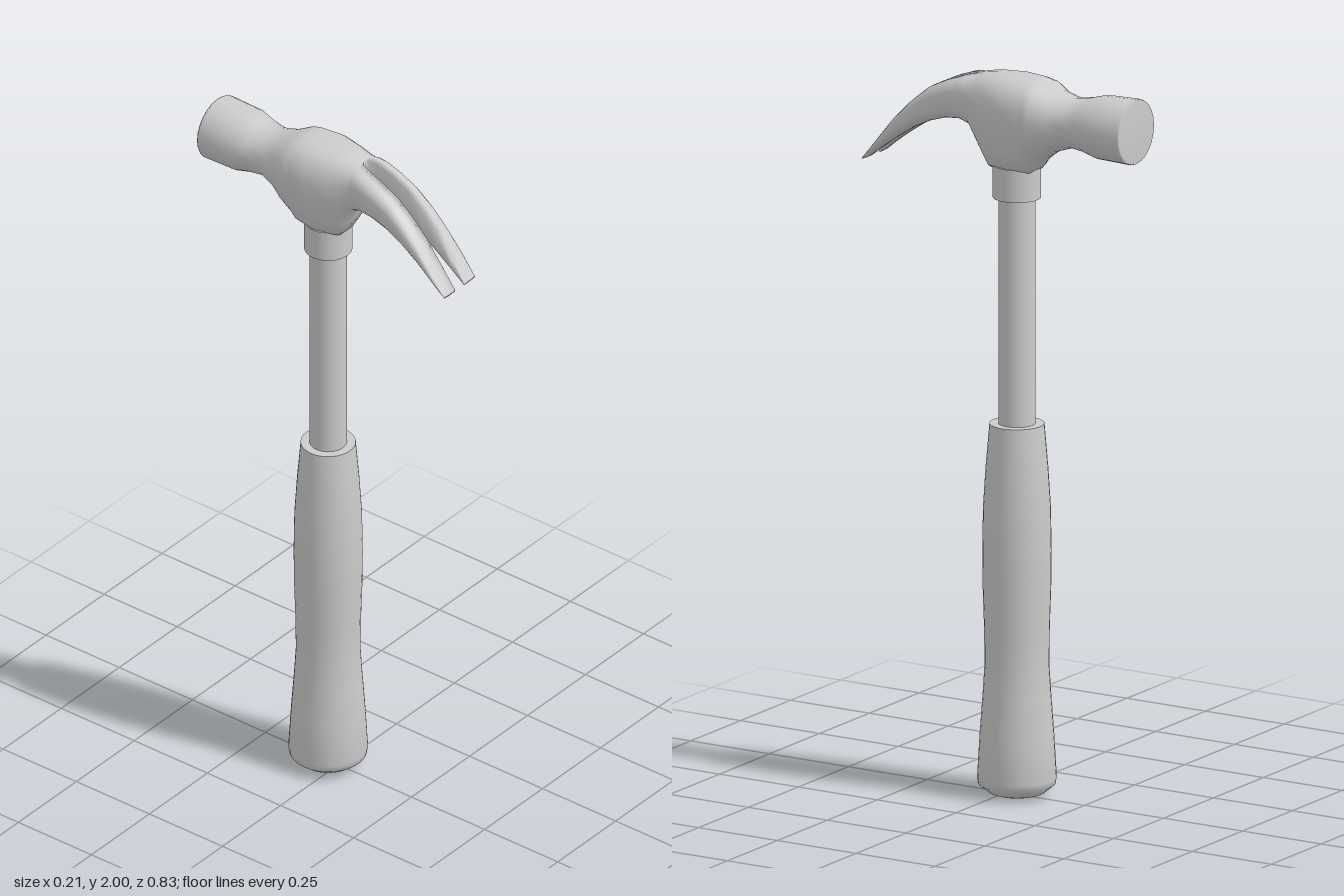
import * as THREE from 'three';
import { mergeGeometries, mergeVertices, toCreasedNormals } from 'three/addons/utils/BufferGeometryUtils.js';

const STEPS = 12; // points on half a cross-section

// Right half of a cross-section, bottom to top.
// s: z, top, bottom, widest height, half width, inner x, upper roundness, lower roundness, lower taper
function halfRing({ z, t, b, m, w, inner = 0, eu, el, k }) {
  const pts = [];
  for (let j = 0; j <= STEPS; j++) {
    const a = -Math.PI / 2 + (Math.PI * j) / STEPS;
    const upper = a >= 0, e = upper ? eu : el;
    const c = j === 0 || j === STEPS ? 0 : Math.cos(a) ** e;
    const v = Math.abs(Math.sin(a)) ** e;
    const x = inner + (w - inner) * c * (upper ? 1 : 1 - k * v);
    pts.push([x, upper ? m + (t - m) * v : m - (m - b) * v, z]);
  }
  return pts;
}

const mirrored = (pts) => pts.map(([x, y, z]) => [-x, y, z]).reverse();
const fullRing = (s) => {
  const half = halfRing(s);
  return [...half, ...mirrored(half).slice(1, -1)];
};

// Skin over rings that run towards +z, optionally closed at the ends
function loft(rings, capStart, capEnd) {
  const pos = [], index = [], n = rings[0].length;
  rings.forEach((r) => r.forEach((p) => pos.push(...p)));
  for (let i = 0; i < rings.length - 1; i++) {
    for (let j = 0; j < n; j++) {
      const a = i * n + j, b = i * n + ((j + 1) % n);
      index.push(a, b, b + n, a, b + n, a + n);
    }
  }
  const cap = (i, flip) => {
    const c = pos.length / 3;
    pos.push(...[0, 1, 2].map((q) => rings[i].reduce((sum, p) => sum + p[q], 0) / n));
    for (let j = 0; j < n; j++) {
      const a = i * n + j, b = i * n + ((j + 1) % n);
      index.push(c, flip ? b : a, flip ? a : b);
    }
  };
  if (capStart) cap(0, true);
  if (capEnd) cap(rings.length - 1, false);
  const g = new THREE.BufferGeometry();
  g.setAttribute('position', new THREE.Float32BufferAttribute(pos, 3));
  g.setIndex(index);
  return g;
}

function headGeometry() {
  // striking face, neck and cheeks: z, top, bottom, mid, half width, roundness up, down, taper
  const body = [
    [-0.414, 1.978, 1.802, 1.89, 0.088, 1, 1, 0],
    [-0.41, 1.98, 1.8, 1.89, 0.091, 1, 1, 0],
    [-0.31, 1.977, 1.803, 1.89, 0.09, 1, 1, 0],
    [-0.265, 1.964, 1.815, 1.89, 0.08, 1, 1, 0],
    [-0.22, 1.957, 1.82, 1.89, 0.073, 1, 1, 0],
    [-0.17, 1.97, 1.803, 1.89, 0.084, 0.95, 0.9, 0],
    [-0.13, 1.99, 1.776, 1.89, 0.103, 0.85, 0.75, 0.1],
    [-0.108, 1.995, 1.755, 1.885, 0.103, 0.8, 0.65, 0.2],
    [-0.095, 1.997, 1.735, 1.88, 0.103, 0.78, 0.6, 0.25],
    [-0.04, 2, 1.733, 1.875, 0.107, 0.75, 0.5, 0.25],
    [0.027, 1.997, 1.735, 1.88, 0.09, 0.75, 0.6, 0.25],
    [0.058, 1.992, 1.79, 1.89, 0.081, 0.75, 0.65, 0.2],
    [0.085, 1.986, 1.843, 1.91, 0.074, 0.75, 0.7, 0.1],
  ].map(([z, t, b, m, w, eu, el, k]) => ({ z, t, b, m, w, eu, el, k }));

  // one claw: z, top, bottom, half width, inner x
  const claw = [
    [0.095, 1.984, 1.85, 0.073, 0.01],
    [0.117, 1.979, 1.86, 0.073, 0.017],
    [0.164, 1.962, 1.857, 0.073, 0.02],
    [0.218, 1.936, 1.84, 0.073, 0.02],
    [0.27, 1.893, 1.815, 0.073, 0.02],
    [0.32, 1.842, 1.782, 0.072, 0.02],
    [0.37, 1.778, 1.746, 0.071, 0.02],
    [0.414, 1.72, 1.712, 0.067, 0.02],
  ].map(([z, t, b, w, inner]) => ({ z, t, b, m: (t + b) / 2, w, inner, eu: 0.7, el: 0.7, k: 0 }));

  const clawRings = [body[body.length - 1], ...claw].map(halfRing);
  const g = mergeVertices(mergeGeometries([
    loft(body.map(fullRing), true, false),
    loft(clawRings, false, true),
    loft(clawRings.map(mirrored), false, true),
  ]), 1e-4);
  g.computeVertexNormals();
  return g;
}

export function createModel() {
  const group = new THREE.Group();
  const material = new THREE.MeshStandardMaterial({ color: 0xcccccc });
  const axisZ = -0.035;
  const add = (name, geometry, y = 0, z = axisZ) => {
    const mesh = new THREE.Mesh(geometry, material);
    mesh.name = name;
    mesh.position.set(0, y, z);
    group.add(mesh);
  };

  // contoured grip
  const profile = [
    [0, 0], [0.06, 0.004], [0.075, 0.009], [0.104, 0.032], [0.107, 0.05], [0.1, 0.17], [0.092, 0.28],
    [0.087, 0.36], [0.088, 0.46], [0.092, 0.58], [0.093, 0.68], [0.091, 0.8],
    [0.084, 0.91], [0.074, 1.03], [0.045, 1.03],
  ].map(([r, y]) => new THREE.Vector2(r, y));
  add('grip', toCreasedNormals(new THREE.LatheGeometry(profile, 32), 0.9));

  add('shaft', new THREE.CylinderGeometry(0.05, 0.05, 0.8, 32), 1.35);
  add('collar', new THREE.CylinderGeometry(0.065, 0.065, 0.09, 32), 1.702);
  add('clawHead', headGeometry(), 0, 0);
  return group;
}
